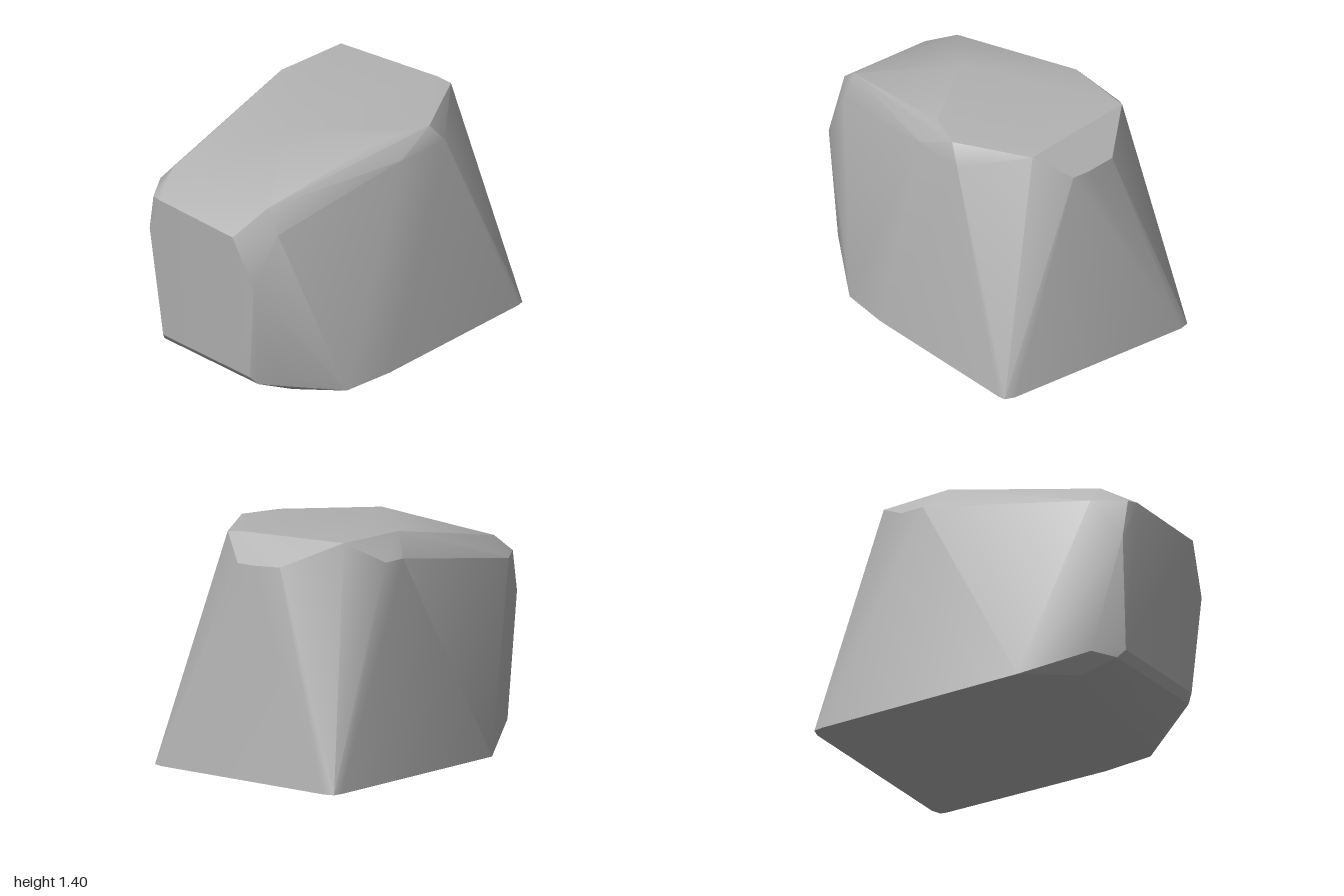
import * as THREE from 'three';
import { ConvexGeometry } from 'three/addons/geometries/ConvexGeometry.js';
import { toCreasedNormals } from 'three/addons/utils/BufferGeometryUtils.js';

const points = (list) => list.map((p) => new THREE.Vector3(...p));

export function createModel() {
  const group = new THREE.Group();
  group.name = 'boulder';
  const stone = new THREE.MeshStandardMaterial({ color: 0xb2b2b2 });
  stone.name = 'stone grey';

  // flat base with small rounded corners on the left
  const base = points([
    [0.94, 0, 0.67], [0.98, 0, 0.66], [1, 0, 0.6],
    [1, 0, -0.62], [0.98, 0, -0.68], [0.92, 0, -0.69],
    [-0.42, 0, -0.7], [-0.46, 0, 0.66], [-0.14, 0, 0.69],
  ]);

  // undercut edge on the right, the same at front and back
  const undercut = [1, -1].flatMap((s) => points([
    [-0.69, 0.02, 0.45 * s], [-0.9, 0.11, 0.38 * s], [-0.94, 0.16, 0.35 * s],
  ]));
  undercut.push(...points([[-0.82, 0.16, 0.46], [-0.8, 0.13, -0.5]]));

  // right end face
  const end = points([
    [-0.97, 0.78, 0.41], [-1, 1.08, 0.27], [-1, 1.09, -0.32], [-0.97, 0.85, -0.43],
    [-0.98, 1.08, -0.39],
  ]);

  // shoulders below the top
  const shoulder = points([
    [-0.8, 1.08, 0.44], [0.08, 1.27, 0.57], [0.43, 1.27, 0.575],
    [0.91, 1.25, 0.1], [0.91, 1.25, -0.01], [0.89, 1.26, -0.2],
    [0.43, 1.27, -0.61], [0.28, 1.27, -0.615], [-0.8, 1.08, -0.51],
  ]);

  // top, sloping down to the right
  const top = points([
    [-0.8, 1.23, 0.36], [-0.8, 1.2, -0.4], [-0.27, 1.4, 0], [0.1, 1.385, 0.46],
    [0.34, 1.385, 0.54], [0.77, 1.39, 0.29], [0.76, 1.4, 0.2],
    [0.64, 1.4, -0.47], [0.18, 1.4, -0.5],
  ]);

  const hull = new ConvexGeometry([...base, ...undercut, ...end, ...shoulder, ...top]);
  const body = new THREE.Mesh(toCreasedNormals(hull, THREE.MathUtils.degToRad(28)), stone);
  body.name = 'boulderBody';
  group.add(body);
  return group;
}
